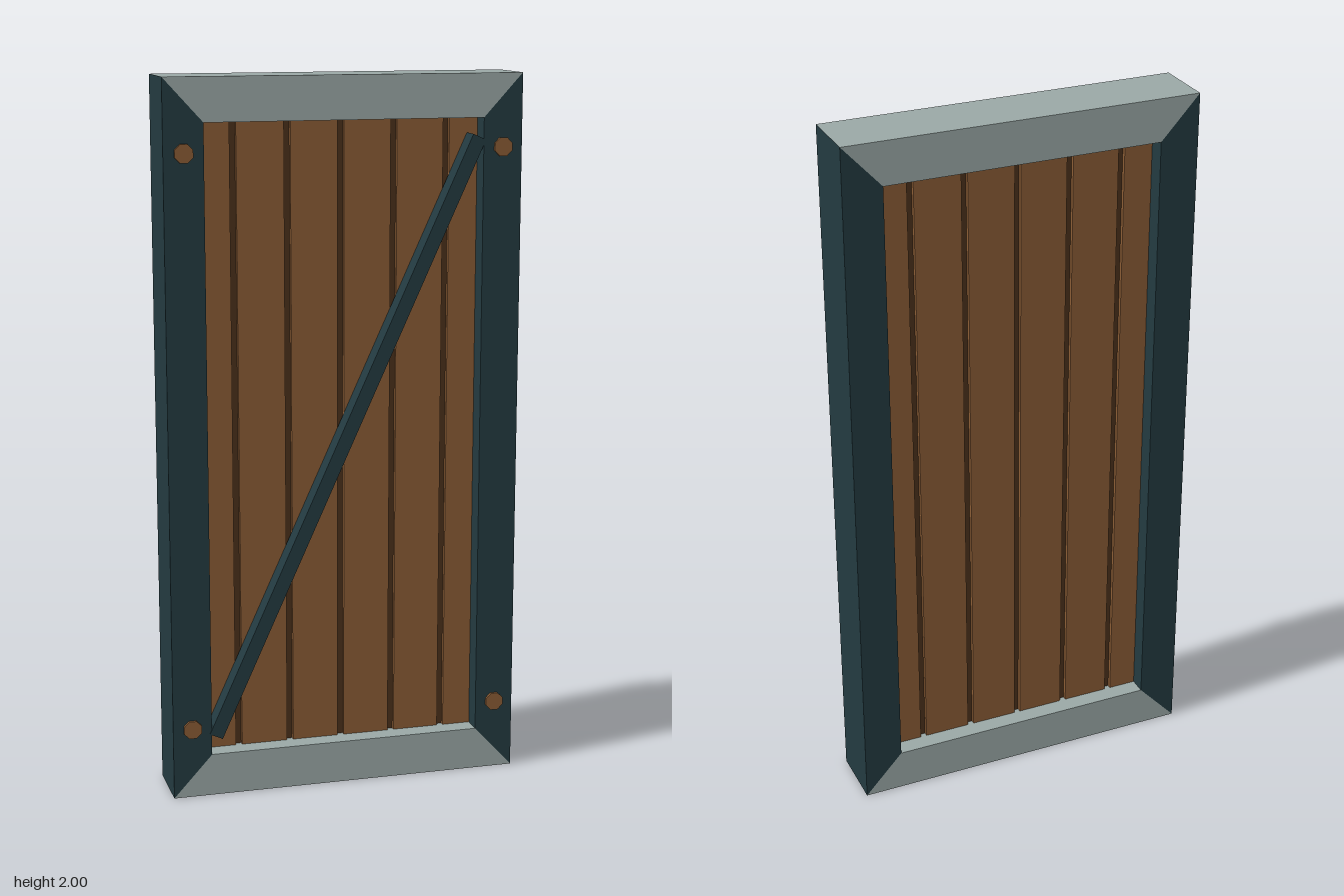
import * as THREE from 'three';

const FRONT = 0.086, BACK = -0.094;

function material(name, color) {
  const m = new THREE.MeshStandardMaterial({ color });
  m.name = name;
  return m;
}

export function createModel() {
  const group = new THREE.Group();
  group.name = 'framedPanel';
  const darkSteel = material('darkSteel', 0x233a40);
  const paleSteel = material('paleSteel', 0x9aa8a6);
  const wood = material('wood', 0x8a5c35);
  const darkWood = material('darkWood', 0x4a301b);

  function add(name, geometry, mat, x = 0, y = 0, z = 0) {
    const mesh = new THREE.Mesh(geometry, mat);
    mesh.name = name;
    mesh.position.set(x, y, z);
    group.add(mesh);
    return mesh;
  }

  // Mitred frame member, extruded from its front outline
  function member(name, corners, mat) {
    const shape = new THREE.Shape(corners.map(([x, y]) => new THREE.Vector2(x, y)));
    const geometry = new THREE.ExtrudeGeometry(shape, { depth: FRONT - BACK, bevelEnabled: false });
    add(name, geometry, mat, 0, 0, BACK);
  }
  const W = 0.5, w = 0.39, low = 0.12, high = 1.88;
  member('bottomRail', [[-W, 0], [W, 0], [w, low], [-w, low]], paleSteel);
  member('topRail', [[-w, high], [w, high], [W, 2], [-W, 2]], paleSteel);
  member('leftStile', [[W, 0], [W, 2], [w, high], [w, low]], darkSteel);
  member('rightStile', [[-W, 2], [-W, 0], [-w, low], [-w, high]], darkSteel);

  // Dark core showing in the gaps between the planks
  const panelHeight = high - low, panelZ = -0.007;
  add('panelCore', new THREE.BoxGeometry(2 * w, panelHeight, 0.05), darkWood, 0, 1, panelZ);

  // Six vertical planks, the outer ones cut by the frame
  const pitch = 0.15, gap = 0.018;
  for (let i = 0; i < 6; i++) {
    const x0 = i === 0 ? -w : (i - 3) * pitch + gap / 2;
    const x1 = i === 5 ? w : (i - 2) * pitch - gap / 2;
    add('plank', new THREE.BoxGeometry(x1 - x0, panelHeight, 0.074), wood, (x0 + x1) / 2, 1, panelZ);
  }

  // Diagonal brace, just proud of the frame
  const brace = add('diagonalBrace', new THREE.BoxGeometry(0.04, 1.82, 0.057), darkSteel, 0, 1, 0.0595);
  brace.rotation.z = -Math.atan2(0.755, 1.655);

  // Eight-sided bolt heads near the corners
  const boltGeometry = new THREE.CylinderGeometry(0.027, 0.027, 0.012, 8).toNonIndexed();
  boltGeometry.computeVertexNormals();
  boltGeometry.rotateY(Math.PI / 8);
  boltGeometry.rotateX(Math.PI / 2);
  for (const x of [-0.445, 0.445]) {
    for (const y of [0.2, 1.8]) add('bolt', boltGeometry, wood, x, y, 0.088);
  }
  return group;
}
